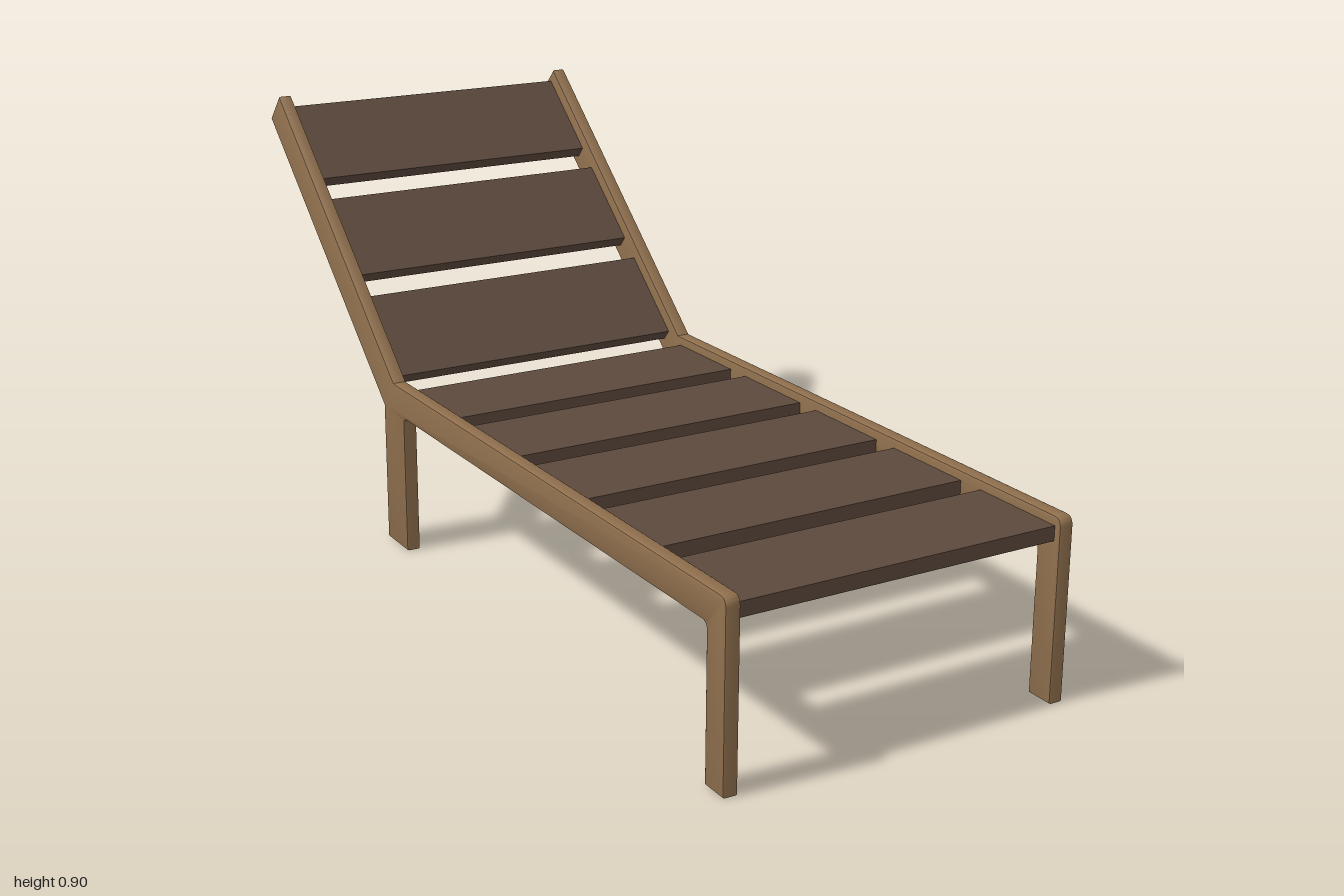
import * as THREE from 'three';
import { toCreasedNormals } from 'three/addons/utils/BufferGeometryUtils.js';

const RAIL_X = 0.362, RAIL_W = 0.031, BEVEL = 0.004;
const SLAT_W = 0.694, SLAT_D = 0.215, SLAT_T = 0.03;
const BACK_ANGLE = Math.atan2(0.53, 0.605);

// Side frame outline, drawn as (z, y): legs, seat rail and reclined back rail
function sideFrameGeometry() {
  const s = new THREE.Shape();
  s.moveTo(1, 0);
  s.lineTo(1, 0.353);
  s.quadraticCurveTo(1, 0.373, 0.98, 0.373);
  s.lineTo(-0.34, 0.373);
  s.lineTo(-0.943, 0.905);
  s.lineTo(-1, 0.845);
  s.lineTo(-0.392, 0.31);
  s.lineTo(-0.392, 0);
  s.lineTo(-0.29, 0);
  s.lineTo(-0.29, 0.292);
  s.quadraticCurveTo(-0.29, 0.307, -0.275, 0.307);
  s.lineTo(0.925, 0.307);
  s.quadraticCurveTo(0.94, 0.307, 0.94, 0.292);
  s.lineTo(0.94, 0);
  s.closePath();
  const depth = RAIL_W - 2 * BEVEL;
  const g = new THREE.ExtrudeGeometry(s, {
    depth, curveSegments: 6, bevelEnabled: true, bevelSize: BEVEL,
    bevelThickness: BEVEL, bevelOffset: -BEVEL, bevelSegments: 2,
  });
  g.translate(0, 0, -depth / 2);
  g.rotateY(-Math.PI / 2);
  return toCreasedNormals(g, 0.6);
}

export function createModel() {
  const model = new THREE.Group();
  model.name = 'sunLounger';
  const frameWood = new THREE.MeshStandardMaterial({ color: 0x8f6f4d });
  frameWood.name = 'light wood';
  const slatWood = new THREE.MeshStandardMaterial({ color: 0x5c493d });
  slatWood.name = 'dark wood';

  // Mirrored side frames
  const frameGeo = sideFrameGeometry();
  for (const side of [1, -1]) {
    const frame = new THREE.Mesh(frameGeo, frameWood);
    frame.name = side > 0 ? 'leftSideFrame' : 'rightSideFrame';
    frame.position.x = side * RAIL_X;
    model.add(frame);
  }

  const slatGeo = new THREE.BoxGeometry(SLAT_W, SLAT_T, SLAT_D);

  // Five flat seat slats
  for (let i = 0; i < 5; i++) {
    const slat = new THREE.Mesh(slatGeo, slatWood);
    slat.name = `seatSlat${i + 1}`;
    slat.position.set(0, 0.339, 0.878 - i * 0.274);
    model.add(slat);
  }

  // Three slats tilted along the back rails, placed from their lower front edge
  const c = Math.cos(BACK_ANGLE), n = Math.sin(BACK_ANGLE);
  for (let i = 0; i < 3; i++) {
    const slat = new THREE.Mesh(slatGeo, slatWood);
    slat.name = `backSlat${i + 1}`;
    const z = -0.38 - i * 0.206, y = 0.3735 + i * 0.181;
    slat.position.set(0,
      y + n * SLAT_D / 2 - c * SLAT_T / 2,
      z - c * SLAT_D / 2 - n * SLAT_T / 2);
    slat.rotation.x = BACK_ANGLE;
    model.add(slat);
  }
  return model;
}
